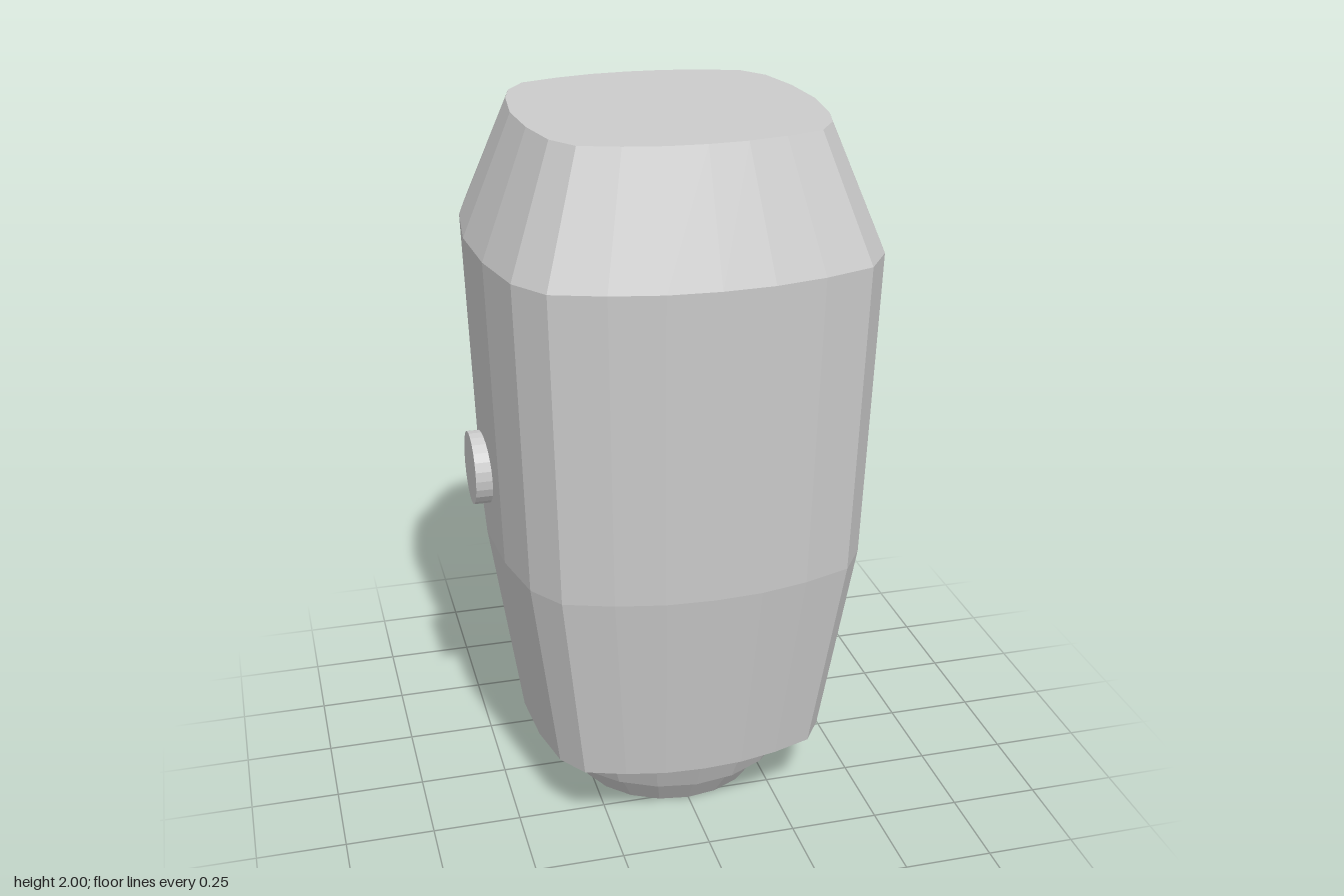
import * as THREE from 'three';

const material = new THREE.MeshStandardMaterial({ color: 0xcccccc, flatShading: true });

// Rounded-square outline: half of it, the rest is the same turned by 180 degrees
const half = [
  [0.42, 0.477], [0.28, 0.525], [0.14, 0.554], [0, 0.562], [-0.14, 0.554], [-0.28, 0.525], [-0.42, 0.477],
  [-0.49, 0.375], [-0.53, 0.19], [-0.545, -0.03], [-0.522, -0.25], [-0.49, -0.375],
];
const outline = [...half, ...half.map(([x, z]) => [-x, -z])];

// Closed solid from scaled copies of the outline, listed from bottom to top as [y, scale]
function loft(levels) {
  const positions = [];
  const point = (level, i) => {
    const [x, z] = outline[i % outline.length];
    return [x * level[1], level[0], z * level[1]];
  };
  const triangle = (a, b, c) => positions.push(...a, ...b, ...c);
  const bottom = levels[0];
  const top = levels[levels.length - 1];
  for (let i = 0; i < outline.length; i++) {
    for (let k = 0; k < levels.length - 1; k++) {
      const a0 = point(levels[k], i), b0 = point(levels[k], i + 1);
      const a1 = point(levels[k + 1], i), b1 = point(levels[k + 1], i + 1);
      triangle(b0, a0, a1);
      triangle(b0, a1, b1);
    }
    triangle([0, top[0], 0], point(top, i + 1), point(top, i));
    triangle([0, bottom[0], 0], point(bottom, i), point(bottom, i + 1));
  }
  const geometry = new THREE.BufferGeometry();
  geometry.setAttribute('position', new THREE.Float32BufferAttribute(positions, 3));
  geometry.computeVertexNormals();
  return geometry;
}

export function createModel() {
  const group = new THREE.Group();
  const add = (name, geometry) => {
    const mesh = new THREE.Mesh(geometry, material);
    mesh.name = name;
    group.add(mesh);
    return mesh;
  };

  // Tapered body with a chamfered shoulder and flat top
  add('body', loft([[0.21, 0.785], [0.8, 0.947], [1.67, 1], [2, 0.75]]));

  // Stepped round neck with a shallow recess underneath
  const neckProfile = [
    [0, 0.06], [0.255, 0.06], [0.255, 0], [0.275, 0], [0.345, 0.103], [0.362, 0.103], [0.41, 0.21],
  ].map(([r, y]) => new THREE.Vector2(r, y));
  add('neck', new THREE.LatheGeometry(neckProfile, 20));

  // Round side buttons
  for (const side of [1, -1]) {
    const button = add(side > 0 ? 'leftButton' : 'rightButton', new THREE.CylinderGeometry(0.103, 0.103, 0.08, 24));
    button.rotation.z = Math.PI / 2;
    button.position.set(side * 0.52, 1.015, 0);
  }
  return group;
}
